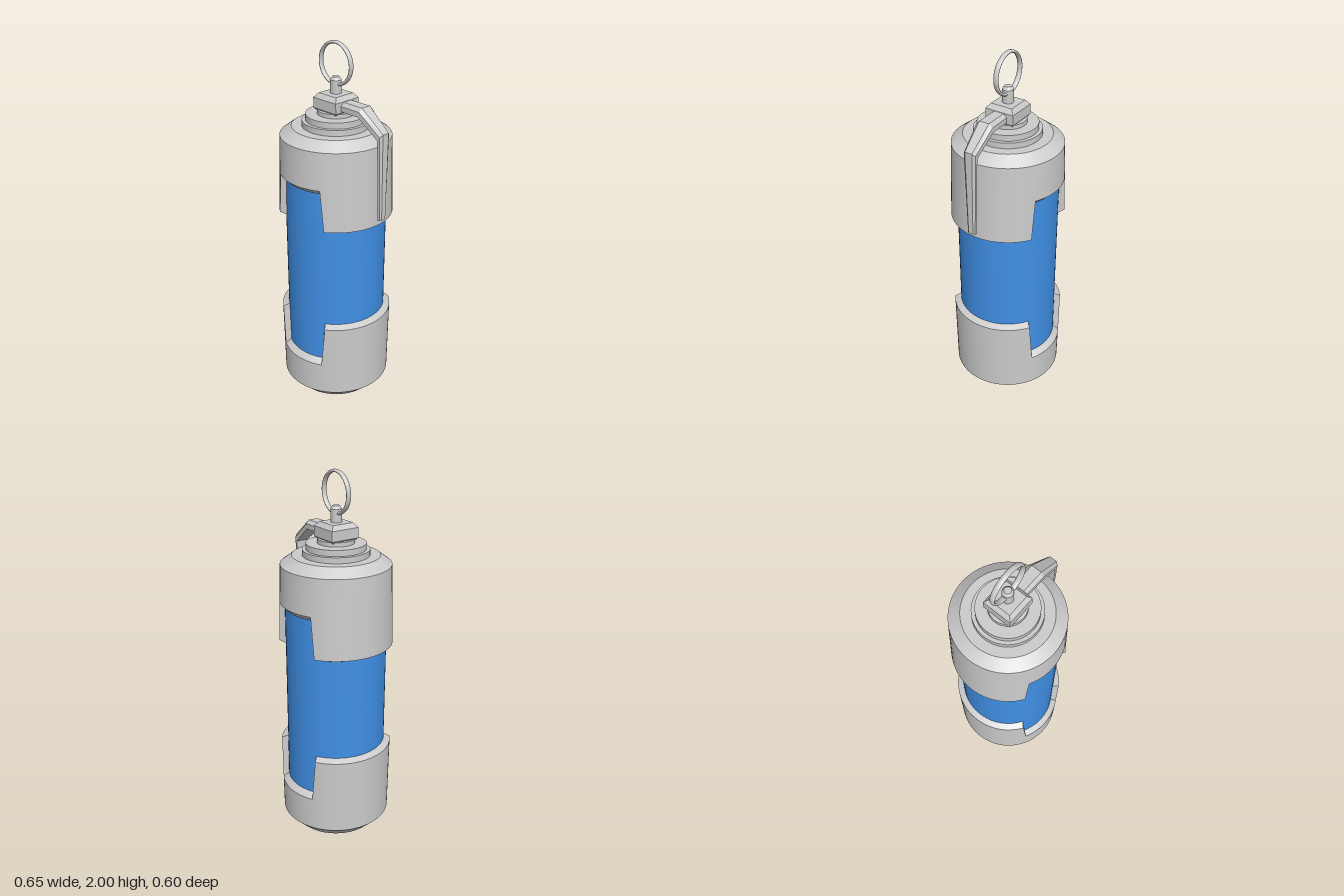
import * as THREE from 'three';
import { toCreasedNormals } from 'three/addons/utils/BufferGeometryUtils.js';

const AXIS_X = -0.022;
const grey = new THREE.MeshStandardMaterial({ color: 0xcccccc });
const blue = new THREE.MeshStandardMaterial({ color: 0x4090e6 });
const lerp = THREE.MathUtils.lerp;

function addMesh(parent, name, geometry, material = grey) {
  const mesh = new THREE.Mesh(geometry, material);
  mesh.name = name;
  parent.add(mesh);
  return mesh;
}

function geometryFrom(positions, indices) {
  const g = new THREE.BufferGeometry();
  g.setAttribute('position', new THREE.Float32BufferAttribute(positions, 3));
  g.setIndex(indices);
  return g;
}

// Turned part from [radius, y] points, bottom to top, with crisp edges
function turned(points) {
  const g = new THREE.LatheGeometry(points.map(([r, y]) => new THREE.Vector2(r, y)), 64);
  return toCreasedNormals(g, 0.5);
}

// One quarter of a cap rim, from the side tab (0 deg) to the notch middle (90 deg).
// Each entry: [outer angle, outer y, inner angle, inner y]
function rimQuarter(s) {
  const out = [];
  for (let i = 0; i <= 12; i++) {
    out.push([56.5 * i / 12, s.tabOuter, 58 * i / 12, s.tabInner]);
  }
  for (let i = 0; i <= 6; i++) {
    out.push([lerp(60.5, 90, i / 6), s.notchOuter, lerp(61.5, 90, i / 6), s.notchInner]);
  }
  return out;
}

// Cap with two side tabs, a bevelled rim and a chamfered closed end
function capGeometry(s) {
  const quarter = rimQuarter(s);
  const rim = [];
  for (let q = 0; q < 4; q++) {
    const part = q % 2 === 0 ? quarter
      : quarter.map(([a, y, b, z]) => [90 - a, y, 90 - b, z]).reverse();
    part.slice(0, -1).forEach(([a, y, b, z]) => rim.push([a + q * 90, y, b + q * 90, z]));
  }
  const pos = [], idx = [], rows = 5, n = rim.length;
  const put = (deg, r, y) => {
    const t = THREE.MathUtils.degToRad(deg);
    pos.push(r * Math.cos(t), y, r * Math.sin(t));
  };
  for (const [a, yo, b, yi] of rim) {
    const k = (yo - s.shoulderY) / (s.tabOuter - s.shoulderY);
    put(b, 0.268, yi);
    put(a, lerp(s.shoulderR, 0.305, k), yo);
    put(a, s.shoulderR, s.shoulderY);
    put(a, s.endR, s.endY);
    put(a, 0, s.endY);
  }
  const upward = s.endY > s.shoulderY;
  const tri = (a, b, c) => (upward ? idx.push(a, b, c) : idx.push(a, c, b));
  for (let i = 0; i < n; i++) {
    for (let j = 0; j < rows - 1; j++) {
      const a = i * rows + j, d = ((i + 1) % n) * rows + j;
      tri(a, a + 1, d);
      if (j < rows - 2) tri(a + 1, d + 1, d);
      else idx.splice(-3), tri(a, a + 1, d);
    }
  }
  return toCreasedNormals(geometryFrom(pos, idx), 0.45);
}

// Lever lofted through chamfered sections: [outer x, outer y, inner x, inner y, half width]
function leverGeometry() {
  const stations = [
    [0.04, 1.71, 0.04, 1.665, 0.044],
    [0.187, 1.71, 0.178, 1.665, 0.047],
    [0.322, 1.605, 0.297, 1.572, 0.034],
    [0.322, 1.14, 0.302, 1.135, 0.022],
  ];
  const section = [[1, -1], [1, 1], [0.4, 1], [0, 0.6], [0, -0.6], [0.4, -1]];
  const pos = [], idx = [], n = section.length, last = (stations.length - 1) * n;
  for (const [ox, oy, ix, iy, w] of stations) {
    for (const [d, z] of section) pos.push(lerp(ox, ix, d), lerp(oy, iy, d), z * w);
  }
  for (let i = 0; i < stations.length - 1; i++) {
    for (let j = 0; j < n; j++) {
      const a = i * n + j, b = i * n + (j + 1) % n;
      idx.push(a, a + n, b + n, a, b + n, b);
    }
  }
  for (let j = 1; j < n - 1; j++) {
    idx.push(0, j, j + 1, last, last + j + 1, last + j);
  }
  return toCreasedNormals(geometryFrom(pos, idx), 0.1);
}

// Square block tapering between [half width, y] levels
function squareBlock(levels) {
  const g = new THREE.LatheGeometry(
    levels.map(([h, y]) => new THREE.Vector2(h * Math.SQRT2, y)), 4, Math.PI / 4);
  return toCreasedNormals(g, 0.1);
}

export function createModel() {
  const model = new THREE.Group();
  model.name = 'canister';
  const core = new THREE.Group();
  core.name = 'canisterBody';
  core.position.x = AXIS_X;
  model.add(core);

  // Coloured cylinder between the two caps
  const body = addMesh(core, 'bodyCylinder', new THREE.CylinderGeometry(0.27, 0.27, 1.4, 64, 1, true), blue);
  body.position.y = 0.8;

  addMesh(core, 'upperCap', capGeometry({
    tabOuter: 1.095, tabInner: 1.078, notchOuter: 1.32, notchInner: 1.292,
    shoulderY: 1.522, shoulderR: 0.291, endY: 1.567, endR: 0.23,
  }));
  addMesh(core, 'lowerCap', capGeometry({
    tabOuter: 0.498, tabInner: 0.515, notchOuter: 0.256, notchInner: 0.285,
    shoulderY: 0.07, shoulderR: 0.3, endY: 0, endR: 0.23,
  }));

  // Stepped neck
  addMesh(core, 'neck', turned([
    [0.176, 1.55], [0.176, 1.598], [0.157, 1.598], [0.157, 1.63],
    [0.097, 1.63], [0.097, 1.652], [0, 1.652],
  ]));

  // Fuse block with bevelled top
  addMesh(core, 'fuseBlock', squareBlock([
    [0, 1.645], [0.07, 1.645], [0.081, 1.658], [0.081, 1.712], [0.061, 1.736], [0, 1.736],
  ]));

  // Pin stem and pull ring
  addMesh(core, 'pinStem', turned([
    [0.029, 1.72], [0.029, 1.805], [0.018, 1.82], [0, 1.82],
  ]));
  const ring = addMesh(core, 'pullRing', new THREE.TorusGeometry(0.106, 0.008, 12, 64));
  ring.position.y = 1.886;
  ring.scale.z = 1.75;

  // Safety lever on the left side
  addMesh(model, 'safetyLever', leverGeometry());

  return model;
}
